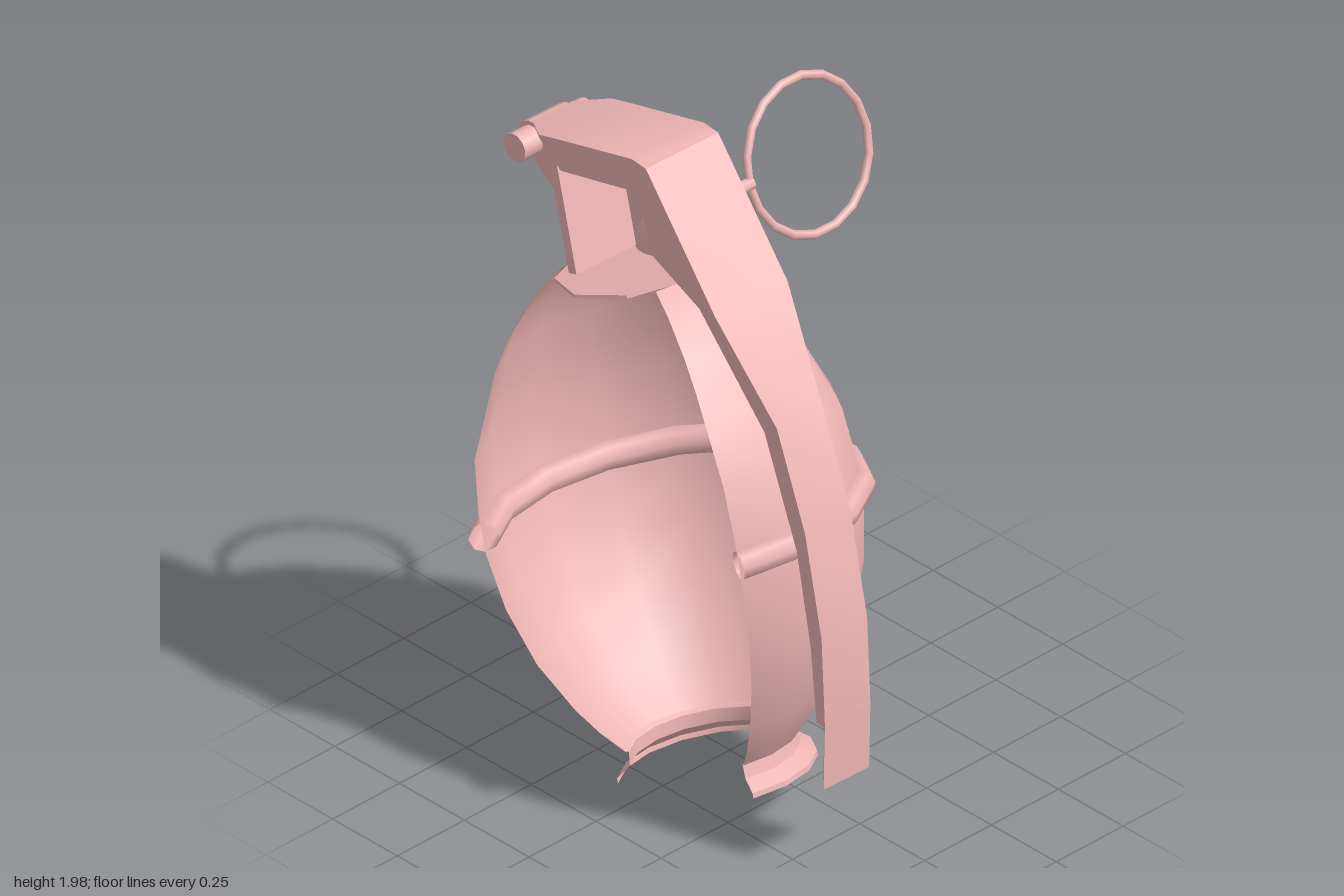
import * as THREE from 'three';
import { toCreasedNormals } from 'three/addons/utils/BufferGeometryUtils.js';

const rad = THREE.MathUtils.degToRad;
const material = new THREE.MeshStandardMaterial({ color: 0xedb5b3, side: THREE.DoubleSide });

export function createModel() {
  const model = new THREE.Group();
  model.name = 'cutawayGrenade';

  // Everything is built upright around the body axis, then leaned over
  const body = new THREE.Group();
  body.name = 'leaningAssembly';
  body.position.set(0.122, 0.08, 0.163);
  body.rotation.set(-0.025, 0, rad(15.05));
  model.add(body);

  const add = (name, geometry, x = 0, y = 0, z = 0) => {
    const mesh = new THREE.Mesh(geometry, material);
    mesh.name = name;
    mesh.position.set(x, y, z);
    body.add(mesh);
    return mesh;
  };
  const extrude = (points, depth) =>
    new THREE.ExtrudeGeometry(new THREE.Shape(points.map(p => new THREE.Vector2(...p))),
      { depth, bevelEnabled: false }).translate(0, 0, -depth / 2);
  const pinAlongZ = (r, length, sides = 12) =>
    new THREE.CylinderGeometry(r, r, length, sides).rotateX(Math.PI / 2);

  // Shell pieces turn through 11 of 16 segments; the front is cut away
  const arc = rad(247.5);
  const shell = profile => new THREE.LatheGeometry(
    profile.map(p => new THREE.Vector2(...p)), 11, rad(67.5), arc);

  // Egg-shaped shell
  add('shell', shell([
    [0.235, 0.085], [0.295, 0.15], [0.35, 0.225], [0.43, 0.37], [0.487, 0.54], [0.513, 0.70],
    [0.515, 0.82], [0.50, 0.98], [0.448, 1.11], [0.405, 1.22], [0.354, 1.31], [0.28, 1.40], [0.205, 1.46],
  ]));

  // Flared foot ring
  add('foot', toCreasedNormals(shell([
    [0.272, 0], [0.272, 0.015], [0.232, 0.045], [0.228, 0.085], [0.24, 0.095],
  ]), rad(35)));

  // Raised seam around the middle, showing inside and out
  add('middleBand', new THREE.TorusGeometry(0.512, 0.042, 8, 11, arc)
    .rotateX(Math.PI / 2).rotateY(rad(-135)), 0, 0.755, 0);

  // Closing plate at the top of the shell
  add('topPlate', toCreasedNormals(new THREE.CylinderGeometry(0.203, 0.203, 0.01, 8), 0.5), 0, 1.462, 0);

  // Fuze housing: back wall with a boss, end wall and rib
  add('housingBack', extrude([
    [-0.157, 1.465], [0.425, 1.472], [0.30, 1.85], [-0.13, 1.875],
  ], 0.012), 0, 0, -0.124);
  add('housingBoss', new THREE.SphereGeometry(0.105, 16, 10).scale(1, 1, 0.38), 0.01, 1.47, -0.125);
  add('housingEnd', new THREE.BoxGeometry(0.03, 0.40, 0.23), -0.11, 1.67, -0.01);
  add('housingRib', new THREE.BoxGeometry(0.035, 0.40, 0.15), -0.142, 1.67, 0);

  // Hinge bracket, knuckle and pin
  add('hingeBracket', extrude([
    [-0.15, 1.68], [-0.18, 1.705], [-0.25, 1.795], [-0.22, 1.86], [-0.13, 1.875],
  ], 0.14));
  add('hingeKnuckle', pinAlongZ(0.054, 0.14), -0.222, 1.83, 0);
  add('hingePin', pinAlongZ(0.042, 0.27), -0.222, 1.83, 0);

  // Lever: a folded channel swept through cross-sections
  add('lever', leverGeometry([
    // outer x, y, flange edge x, y, half width
    [-0.20, 1.888, -0.20, 1.885, 0.075],
    [-0.11, 1.888, -0.11, 1.875, 0.135],
    [-0.047, 1.888, -0.047, 1.794, 0.135],
    [0.255, 1.882, 0.258, 1.784, 0.135],
    [0.307, 1.862, 0.265, 1.606, 0.135],
    [0.485, 1.46, 0.425, 1.475, 0.135],
    [0.598, 1.134, 0.544, 1.114, 0.085],
    [0.637, 0.833, 0.590, 0.773, 0.085],
    [0.628, 0.525, 0.577, 0.493, 0.085],
    [0.578, 0.263, 0.546, 0.267, 0.085],
    [0.576, 0.255, 0.574, 0.255, 0.085],
    [0.525, 0.066, 0.523, 0.067, 0.085],
  ]));

  // Safety pin and pull ring
  add('safetyPin', pinAlongZ(0.019, 0.35, 8), 0.311, 1.684, -0.04);
  const ring = add('pullRing', new THREE.TorusGeometry(0.219, 0.013, 6, 18).rotateY(Math.PI / 2),
    0.311, 1.684, -0.425);
  ring.rotation.z = rad(4.4);

  return model;
}

// Joins the channel sections with a face strip and a flange on each side
function leverGeometry(sections) {
  const rings = sections.map(([ox, oy, ix, iy, w]) =>
    [[ix, iy, w], [ox, oy, w], [ox, oy, -w], [ix, iy, -w]]);
  const positions = [];
  for (let i = 0; i < rings.length - 1; i++) {
    for (let j = 0; j < 3; j++) {
      const a = rings[i][j], b = rings[i + 1][j], c = rings[i + 1][j + 1], d = rings[i][j + 1];
      positions.push(...a, ...b, ...c, ...a, ...c, ...d);
    }
  }
  const geometry = new THREE.BufferGeometry();
  geometry.setAttribute('position', new THREE.Float32BufferAttribute(positions, 3));
  return toCreasedNormals(geometry, rad(40));
}
